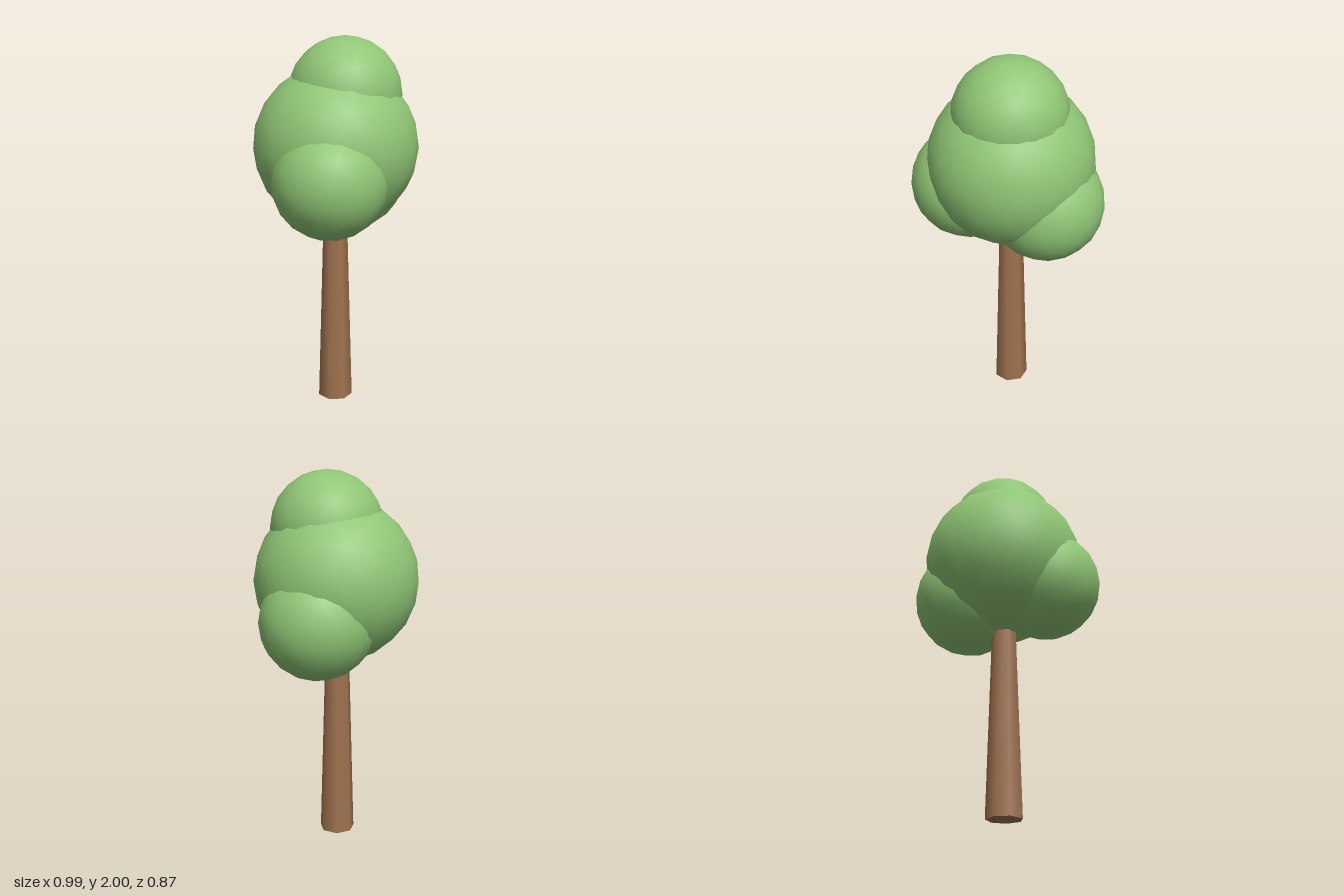
import * as THREE from 'three';

export function createModel() {
  const tree = new THREE.Group();
  tree.name = 'tree';

  const bark = new THREE.MeshStandardMaterial({ color: 0xa0734f });
  bark.name = 'bark brown';
  const leaf = new THREE.MeshStandardMaterial({ color: 0x90c676 });
  leaf.name = 'leaf green';

  // Tapered seven-sided trunk, its top hidden inside the crown
  const height = 1.2;
  const trunk = new THREE.Mesh(
    new THREE.CylinderGeometry(0.061, 0.096, height, 7, 1, false, THREE.MathUtils.degToRad(35)),
    bark
  );
  trunk.name = 'trunk';
  trunk.position.set(-0.009, height / 2, 0);
  tree.add(trunk);

  // Smooth icosphere turned so that one corner points straight up
  const ball = new THREE.IcosahedronGeometry(1, 3);
  ball.rotateX(-Math.atan((1 + Math.sqrt(5)) / 2));
  ball.rotateY(Math.PI / 2);

  // Leaf clumps: name, radius, centre
  const clumps = [
    ['mainFoliage', 0.437, [-0.003, 1.43, 0]],
    ['topFoliage', 0.298, [0.03, 1.703, 0.035]],
    ['rightFoliage', 0.3, [-0.195, 1.285, 0.135]],
    ['leftFoliage', 0.306, [0.185, 1.24, -0.07]],
  ];
  for (const [name, radius, centre] of clumps) {
    const clump = new THREE.Mesh(ball, leaf);
    clump.name = name;
    clump.scale.setScalar(radius);
    clump.position.set(...centre);
    tree.add(clump);
  }

  return tree;
}
